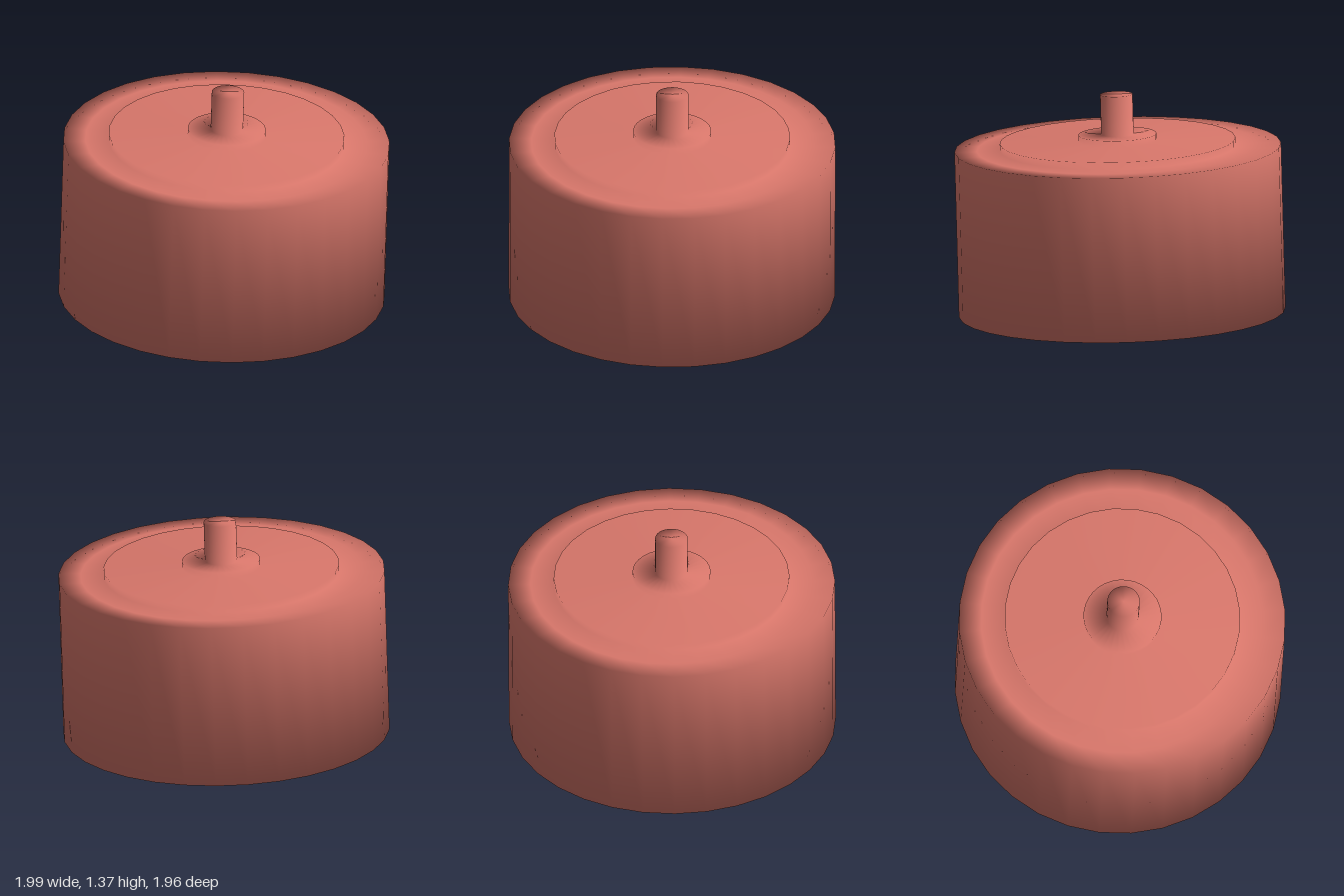
import * as THREE from 'three';

export function createModel() {
  const model = new THREE.Group();
  const material = new THREE.MeshStandardMaterial({ color: 0xd9776b });

  // One continuous turned profile, softly shaded across its rims
  const profile = [
    [0, 0], [0.984, 0], // base
    [0.984, 1.009], [0.85, 1.009], [0.71, 1.009], // drum wall and top ledge
    [0.71, 1.052], [0.235, 1.092 - 0.04], // raised lid
    [0.235, 1.092], [0.098, 1.092], // collar
    [0.098, 1.336], [0, 1.336], // shaft
  ].map(([r, y]) => new THREE.Vector2(r, y));

  const drum = new THREE.Mesh(new THREE.LatheGeometry(profile, 32, 0.065), material);
  drum.name = 'drumWithShaft';

  // The whole body leans slightly toward its left
  drum.rotation.z = -0.0315;
  drum.position.set(-0.017, 0.031, 0);
  model.add(drum);
  return model;
}
